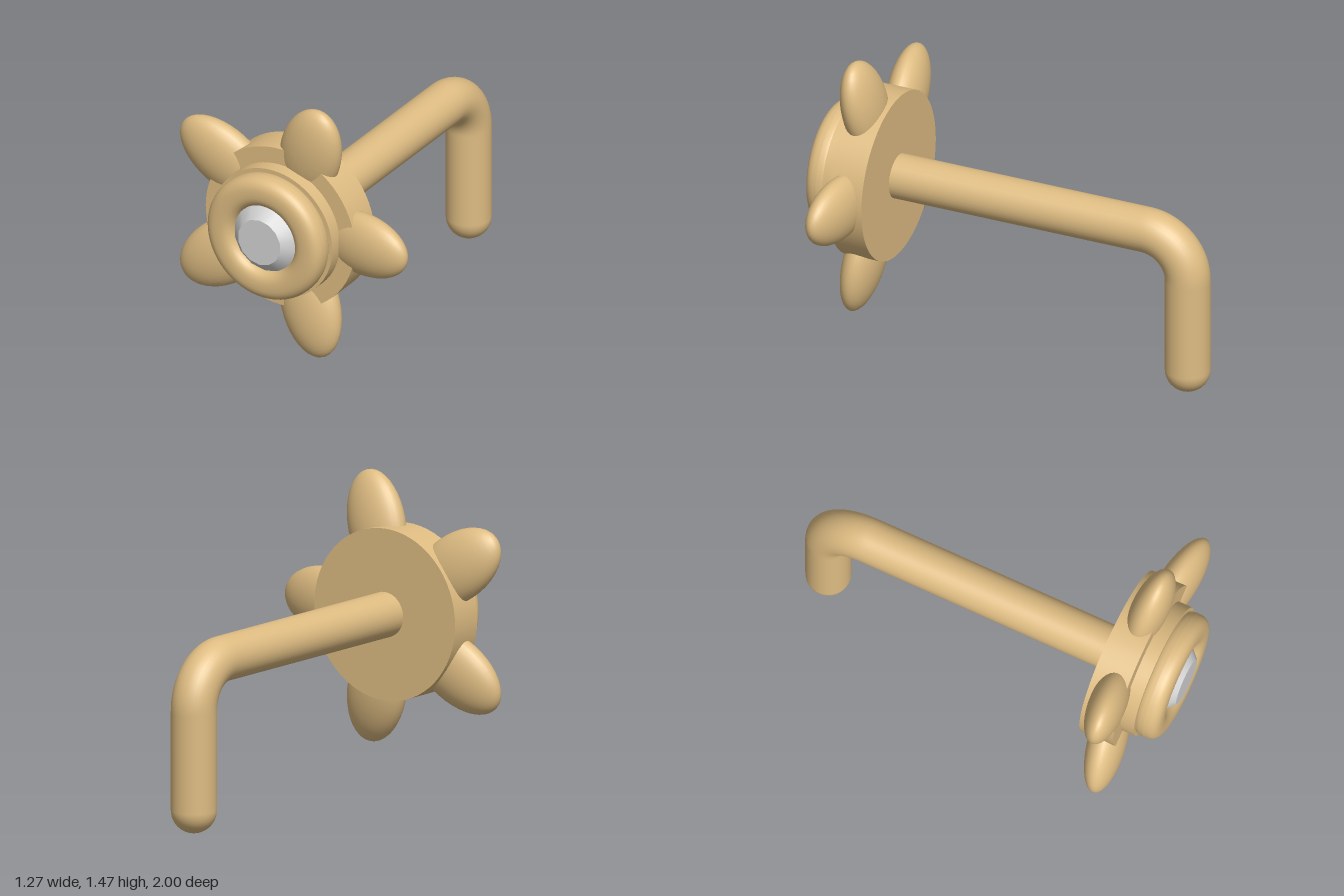
import * as THREE from 'three';

const CX = -0.06, CY = 0.81; // axis of the flower head

export function createModel() {
  const model = new THREE.Group();
  model.name = 'flowerHook';
  const tan = new THREE.MeshStandardMaterial({ color: 0xdebc82 });
  tan.name = 'tan';
  const silver = new THREE.MeshStandardMaterial({ color: 0xd4d4d4 });
  silver.name = 'silver';

  const add = (name, geometry, material, x = CX, y = CY, z = 0) => {
    const mesh = new THREE.Mesh(geometry, material);
    mesh.name = name;
    mesh.position.set(x, y, z);
    model.add(mesh);
    return mesh;
  };

  // Disc along z between two depths, tapering from back to front
  const disc = (name, rBack, rFront, z0, z1, sides, material) => {
    const g = new THREE.CylinderGeometry(rFront, rBack, z1 - z0, sides);
    g.rotateX(Math.PI / 2);
    return add(name, g, material, CX, CY, (z0 + z1) / 2);
  };

  // Bent rod running back from the head, then down
  const v = (y, z) => new THREE.Vector3(0, y, z);
  const bend = 0.22, backZ = -0.89, k = bend * 0.5523;
  const path = new THREE.CurvePath();
  path.add(new THREE.LineCurve3(v(CY, 0.66), v(CY, backZ + bend)));
  path.add(new THREE.CubicBezierCurve3(
    v(CY, backZ + bend), v(CY, backZ + bend - k),
    v(CY - bend + k, backZ), v(CY - bend, backZ)));
  path.add(new THREE.LineCurve3(v(CY - bend, backZ), v(0.11, backZ)));
  add('rod', new THREE.TubeGeometry(path, 100, 0.11, 32), tan, CX, 0, 0);
  add('rodTip', new THREE.SphereGeometry(0.11, 32, 12, 0, Math.PI * 2, Math.PI / 2, Math.PI / 2),
    tan, CX, 0.11, backZ);

  // Head: base plate and stepped collar
  disc('basePlate', 0.418, 0.418, 0.63, 0.808, 64, tan);
  disc('collar', 0.335, 0.335, 0.80, 0.877, 64, tan);

  // Rounded ring with a slightly squared section
  const section = [];
  for (let i = 0; i <= 32; i++) {
    const a = (i / 32) * Math.PI * 2;
    const soft = (t) => Math.sign(t) * Math.pow(Math.abs(t), 0.8);
    section.push(new THREE.Vector2(0.245 + 0.077 * soft(Math.cos(a)), 0.071 * soft(Math.sin(a))));
  }
  const ring = new THREE.LatheGeometry(section, 64);
  ring.rotateX(Math.PI / 2);
  add('ring', ring, tan, CX, CY, 0.917);

  // Bevelled centre stud
  disc('studBase', 0.178, 0.178, 0.86, 0.94, 32, silver);
  disc('stud', 0.178, 0.119, 0.94, 0.998, 14, silver);

  // Five petals, each a flattened ellipsoid tipped slightly forward
  for (let i = 0; i < 5; i++) {
    const a = (i / 5) * Math.PI * 2;
    const g = new THREE.SphereGeometry(1, 32, 20);
    g.rotateZ(Math.PI / 2);
    g.scale(0.265, 0.162, 0.09);
    g.rotateY(-0.12);
    g.translate(0.427, 0, 0.745);
    g.rotateZ(a);
    add('petal' + (i + 1), g, tan);
  }
  return model;
}
